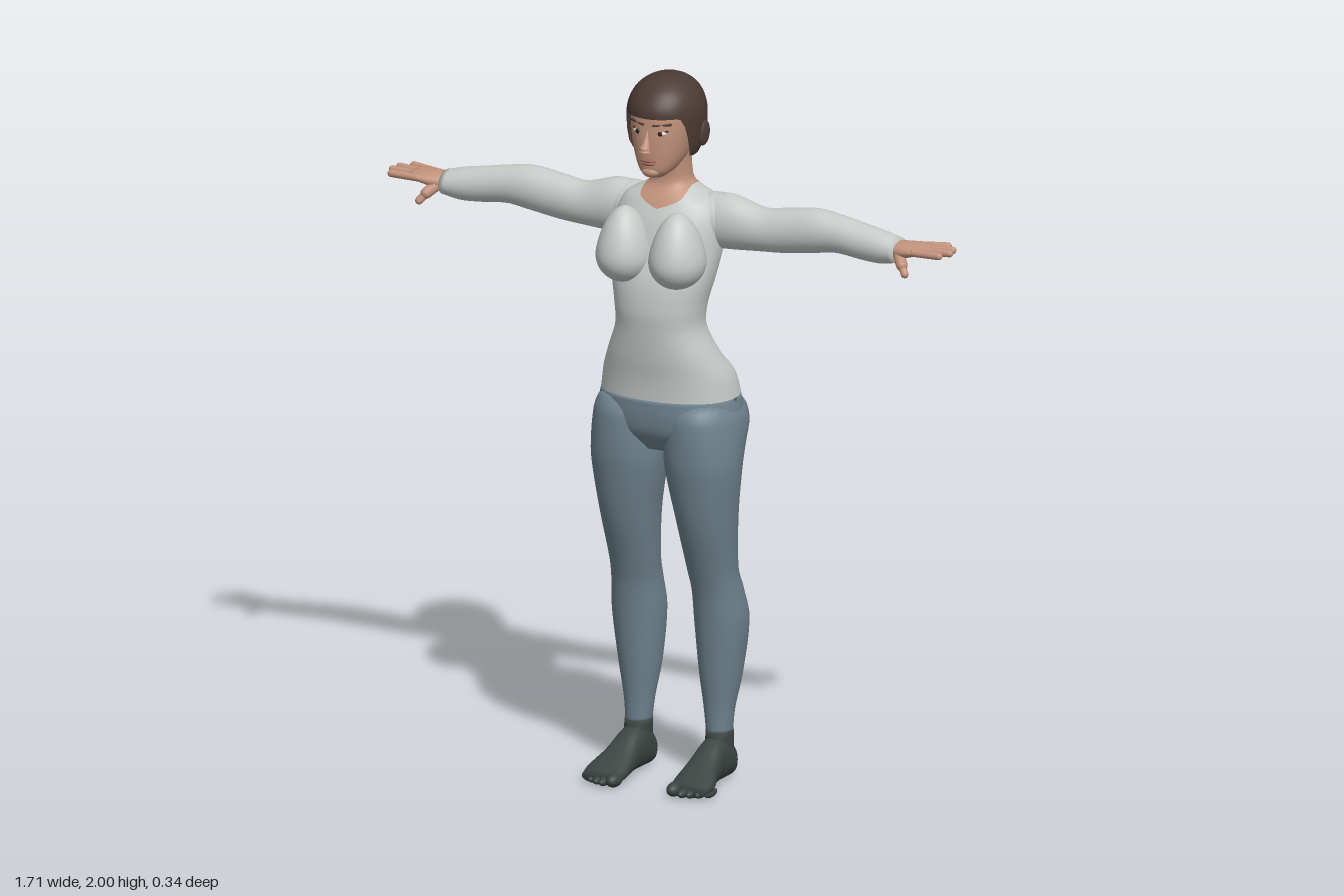
import * as THREE from 'three';

const mat = (name, color) => Object.assign(new THREE.MeshStandardMaterial({ color }), { name });
const M = {
  skin: mat('skin', 0xc2937c), shirt: mat('shirt', 0xc6cbc8), pants: mat('trousers', 0x6f838d),
  sock: mat('sock', 0x3c4543), hair: mat('hair', 0x4b3b35), lip: mat('lip', 0x9c6458),
  white: mat('eyeWhite', 0xd8d4ce), dark: mat('pupil', 0x2a211e),
};
M.hair.side = THREE.DoubleSide;

// Smooth interpolation of [s, x0, x1, z0, z1] rows at position s
function sample(rows, s) {
  let i = 0;
  while (i < rows.length - 2 && s > rows[i + 1][0]) i++;
  const a = rows[i], b = rows[i + 1], p = rows[i - 1] || a, n = rows[i + 2] || b;
  const h = b[0] - a[0], t = THREE.MathUtils.clamp((s - a[0]) / h, 0, 1);
  return [1, 2, 3, 4].map((k) => {
    const ma = (b[k] - p[k]) / (b[0] - p[0]) * h, mb = (n[k] - a[k]) / (n[0] - a[0]) * h;
    const t2 = t * t, t3 = t2 * t;
    return (2 * t3 - 3 * t2 + 1) * a[k] + (t3 - 2 * t2 + t) * ma + (3 * t2 - 2 * t3) * b[k] + (t3 - t2) * mb;
  });
}

// Closed loft along y; lo and hi may bend the edges as functions of the ring angle
function loft(rows, { lo, hi, nu = 32, nv = 32, p = 0.92, cap = true, tweak } = {}) {
  const first = rows[0][0], last = rows[rows.length - 1][0], pos = [], idx = [];
  const steps = [...Array(nv + 1).keys()].map((j) => [j / nv, 1]);
  if (cap) { steps.unshift([0, 0]); steps.push([1, 0]); }
  for (const [t, scale] of steps) for (let i = 0; i < nu; i++) {
    const a = i / nu * Math.PI * 2, c = Math.cos(a), s = Math.sin(a);
    const y = THREE.MathUtils.lerp(lo ? lo(c, s) : first, hi ? hi(c, s) : last, t);
    const [x0, x1, z0, z1] = sample(rows, y);
    const pw = (v) => Math.sign(v) * Math.abs(v) ** p * scale;
    const q = new THREE.Vector3((x0 + x1) / 2 + (x1 - x0) / 2 * pw(c), y, (z0 + z1) / 2 + (z1 - z0) / 2 * pw(s));
    if (tweak) tweak(q, s);
    pos.push(q.x, q.y, q.z);
  }
  for (let j = 0; j < steps.length - 1; j++) for (let i = 0; i < nu; i++) {
    const a = j * nu + i, b = j * nu + (i + 1) % nu;
    idx.push(a, a + nu, b, b, a + nu, b + nu);
  }
  const g = new THREE.BufferGeometry();
  g.setAttribute('position', new THREE.Float32BufferAttribute(pos, 3));
  g.setIndex(idx);
  g.computeVertexNormals();
  return g;
}

// Symmetric rows from [y, halfWidth, front, back]
const sym = (rows) => rows.map(([y, w, f, b]) => [y, -w, w, b, f]);

const BODY = sym([
  [0.95, 0.09, 0.06, -0.06], [1.0, 0.19, 0.095, -0.135], [1.05, 0.205, 0.105, -0.168], [1.1, 0.197, 0.105, -0.17],
  [1.16, 0.185, 0.11, -0.155], [1.22, 0.158, 0.12, -0.105], [1.3, 0.126, 0.13, -0.075], [1.36, 0.128, 0.135, -0.08],
  [1.44, 0.145, 0.125, -0.105], [1.52, 0.155, 0.095, -0.13], [1.6, 0.155, 0.07, -0.135], [1.65, 0.13, 0.045, -0.122],
  [1.67, 0.088, 0.03, -0.112], [1.69, 0.061, 0.017, -0.1], [1.72, 0.054, 0.015, -0.093], [1.79, 0.053, 0.03, -0.088],
]);
const LEG = [
  [0.13, 0.088, 0.157, -0.12, -0.04], [0.2, 0.08, 0.163, -0.128, -0.037], [0.3, 0.065, 0.18, -0.155, -0.025],
  [0.45, 0.053, 0.197, -0.17, -0.008], [0.54, 0.054, 0.19, -0.145, 0.005], [0.6, 0.05, 0.186, -0.122, 0.022],
  [0.75, 0.034, 0.198, -0.11, 0.07], [0.9, 0.008, 0.215, -0.115, 0.1], [0.96, 0.003, 0.217, -0.138, 0.105],
  [1.02, 0.003, 0.215, -0.17, 0.105], [1.06, 0.008, 0.207, -0.165, 0.1], [1.09, 0.02, 0.19, -0.14, 0.08],
];
const ARM = [
  [0.08, 1.51, 1.655, -0.12, 0.01], [0.17, 1.513, 1.667, -0.113, 0.008], [0.27, 1.52, 1.642, -0.107, 0.002],
  [0.34, 1.525, 1.65, -0.107, 0], [0.43, 1.538, 1.662, -0.107, 0], [0.5, 1.548, 1.654, -0.103, -0.002],
  [0.58, 1.541, 1.64, -0.097, 0], [0.64, 1.54, 1.63, -0.092, 0.003], [0.69, 1.55, 1.617, -0.086, 0.003],
];
const PALM = [
  [0.67, 1.56, 1.61, -0.078, -0.008], [0.71, 1.568, 1.612, -0.082, 0.006],
  [0.75, 1.58, 1.611, -0.093, 0.012], [0.782, 1.589, 1.607, -0.09, 0.008],
];
// Foot rows run heel to toe: [z, inner, outer, -top, -bottom]
const FOOT = [
  [-0.135, 0.108, 0.135, -0.05, -0.02], [-0.122, 0.087, 0.157, -0.085, -0.004], [-0.08, 0.082, 0.163, -0.125, -0.002],
  [-0.03, 0.082, 0.165, -0.12, -0.004], [0.03, 0.077, 0.175, -0.086, -0.006], [0.09, 0.072, 0.192, -0.055, -0.003],
  [0.13, 0.078, 0.188, -0.04, -0.004],
];
const HEAD = sym([
  [1.728, 0.025, 0.088, 0.03], [1.745, 0.046, 0.1, -0.01], [1.78, 0.066, 0.105, -0.06], [1.83, 0.08, 0.107, -0.09],
  [1.87, 0.087, 0.105, -0.105], [1.91, 0.086, 0.1, -0.11], [1.96, 0.06, 0.06, -0.08],
]);
const HAIR = sym([
  [1.775, 0.085, 0.085, -0.085], [1.81, 0.099, 0.105, -0.112], [1.87, 0.106, 0.113, -0.13], [1.92, 0.102, 0.113, -0.128],
  [1.96, 0.084, 0.088, -0.107], [1.985, 0.055, 0.053, -0.075], [1.997, 0.025, 0.02, -0.04], [2.0, 0.002, -0.008, -0.012],
]);

export function createModel() {
  const root = new THREE.Group();
  const add = (name, g, m) => {
    const mesh = new THREE.Mesh(g, m);
    mesh.name = name;
    root.add(mesh);
    return mesh;
  };
  const ball = (name, m, p, r) => {
    const mesh = add(name, new THREE.SphereGeometry(1, 24, 16), m);
    mesh.position.set(...p);
    mesh.scale.set(...r);
    return mesh;
  };
  const rod = (name, m, p, q, r) => {
    const a = new THREE.Vector3(...p), d = new THREE.Vector3(...q).sub(a);
    const mesh = add(name, new THREE.CapsuleGeometry(r, d.length(), 5, 12), m);
    mesh.position.copy(a).addScaledVector(d, 0.5);
    mesh.quaternion.setFromUnitVectors(new THREE.Vector3(0, 1, 0), d.normalize());
  };

  // Trunk: cleft at the seat and a shallow groove along the spine
  const tweak = (q, s) => {
    if (s >= 0) return;
    const seat = 1 - THREE.MathUtils.smoothstep(q.y, 1.1, 1.21);
    const spine = THREE.MathUtils.smoothstep(q.y, 1.15, 1.25) * (1 - THREE.MathUtils.smoothstep(q.y, 1.5, 1.62));
    q.z += (0.055 * seat + 0.014 * spine) * Math.exp(-((q.x / 0.03) ** 2));
  };
  const neckline = (c, s) => (s > 0 ? 1.63 + 0.055 * Math.abs(c) : 1.65 + 0.035 * Math.abs(c));
  const hem = () => 1.1;
  add('trouserSeat', loft(BODY, { hi: hem, tweak, nu: 64, nv: 14 }), M.pants);
  add('shirt', loft(BODY, { lo: hem, hi: neckline, tweak, nu: 64, nv: 60, cap: false }), M.shirt);
  add('neck', loft(BODY, { lo: neckline, nu: 64, nv: 16, cap: false }), M.skin);

  // Head, hair with an open face edge, and facial features
  add('head', loft(HEAD, { p: 0.9 }), M.skin);
  const fringe = (c, s) => 1.782 + 0.118 * THREE.MathUtils.smoothstep(s, 0.25, 0.68);
  add('hair', loft(HAIR, { lo: fringe, nu: 64, p: 1, cap: false }), M.hair);
  const nose = add('nose', new THREE.ConeGeometry(0.017, 0.062, 16), M.skin);
  nose.position.set(0, 1.836, 0.114);
  nose.rotation.x = -0.3;
  ball('noseTip', M.skin, [0, 1.818, 0.122], [0.014, 0.011, 0.016]);
  ball('upperLip', M.lip, [0, 1.779, 0.104], [0.024, 0.005, 0.009]);
  ball('lowerLip', M.lip, [0, 1.771, 0.103], [0.02, 0.006, 0.009]);
  ball('chin', M.skin, [0, 1.745, 0.088], [0.026, 0.016, 0.018]);

  for (const s of [1, -1]) {
    const side = s > 0 ? 'left' : 'right';
    const flip = (rows) => (s > 0 ? rows : rows.map(([y, a, b, c, d]) => [y, -b, -a, c, d]));
    const sideways = (rows, opt) =>
      loft(rows.map(([x, a, b, c, d]) => (s > 0 ? [x, -b, -a, c, d] : [x, a, b, c, d])), opt).rotateZ(-s * Math.PI / 2);

    // Eyes, brows and ears
    ball(side + 'Eye', M.white, [s * 0.034, 1.858, 0.093], [0.016, 0.007, 0.009]);
    ball(side + 'Pupil', M.dark, [s * 0.034, 1.858, 0.099], [0.007, 0.007, 0.005]);
    rod(side + 'Lash', M.dark, [s * 0.019, 1.864, 0.099], [s * 0.051, 1.865, 0.088], 0.003);
    rod(side + 'Brow', M.hair, [s * 0.016, 1.88, 0.102], [s * 0.058, 1.884, 0.084], 0.004);
    const ear = ball(side + 'Ear', M.hair, [s * 0.104, 1.84, -0.022], [0.011, 0.036, 0.022]);
    ear.rotation.set(-0.2, s * -0.25, 0);

    // Bust: round below, long slope above
    const g = new THREE.SphereGeometry(1, 36, 28), v = g.attributes.position;
    for (let i = 0; i < v.count; i++) if (v.getY(i) > 0) v.setY(i, v.getY(i) * (1 + 0.75 * v.getY(i)));
    g.scale(0.077, 0.077, 0.087);
    g.computeVertexNormals();
    add(side + 'Bust', g, M.shirt).position.set(s * 0.08, 1.502, 0.086);

    // Arm and hand
    add(side + 'Sleeve', sideways(ARM, { nv: 40, p: 1 }), M.shirt);
    ball(side + 'Shoulder', M.shirt, [s * 0.125, 1.59, -0.055], [0.075, 0.075, 0.07]);
    add(side + 'Palm', sideways(PALM, { nv: 14 }), M.skin);
    [[0.002, 0.004, 0.832], [-0.026, -0.032, 0.846], [-0.053, -0.063, 0.84], [-0.078, -0.091, 0.812]].forEach(([z0, z1, x]) =>
      rod(side + 'Finger', M.skin, [s * 0.755, 1.597, z0], [s * x, 1.599, z1], 0.0105));
    rod(side + 'ThumbBase', M.skin, [s * 0.7, 1.582, -0.015], [s * 0.723, 1.56, 0.01], 0.016);
    rod(side + 'Thumb', M.skin, [s * 0.72, 1.562, 0.008], [s * 0.738, 1.54, 0.022], 0.011);

    // Leg, ankle, foot and toes
    add(side + 'Leg', loft(flip(LEG), { nv: 60, p: 0.95 }), M.pants);
    const ankle = [[0.03, 0.086, 0.16, -0.125, -0.02], [0.09, 0.087, 0.16, -0.124, -0.03], [0.14, 0.087, 0.159, -0.121, -0.039]];
    add(side + 'Ankle', loft(flip(ankle), { nv: 8 }), M.sock);
    add(side + 'Foot', loft(flip(FOOT), { nv: 28, p: 0.85 }).rotateX(Math.PI / 2), M.sock);
    for (let i = 0; i < 5; i++) {
      const r = i ? 0.0135 - i * 0.0005 : 0.02;
      ball(side + 'Toe', M.sock, [s * (i ? 0.099 + i * 0.021 : 0.092), r + 0.001, 0.125 - i * i * 0.0022], [r, r, 0.032]);
    }
  }
  return root;
}
